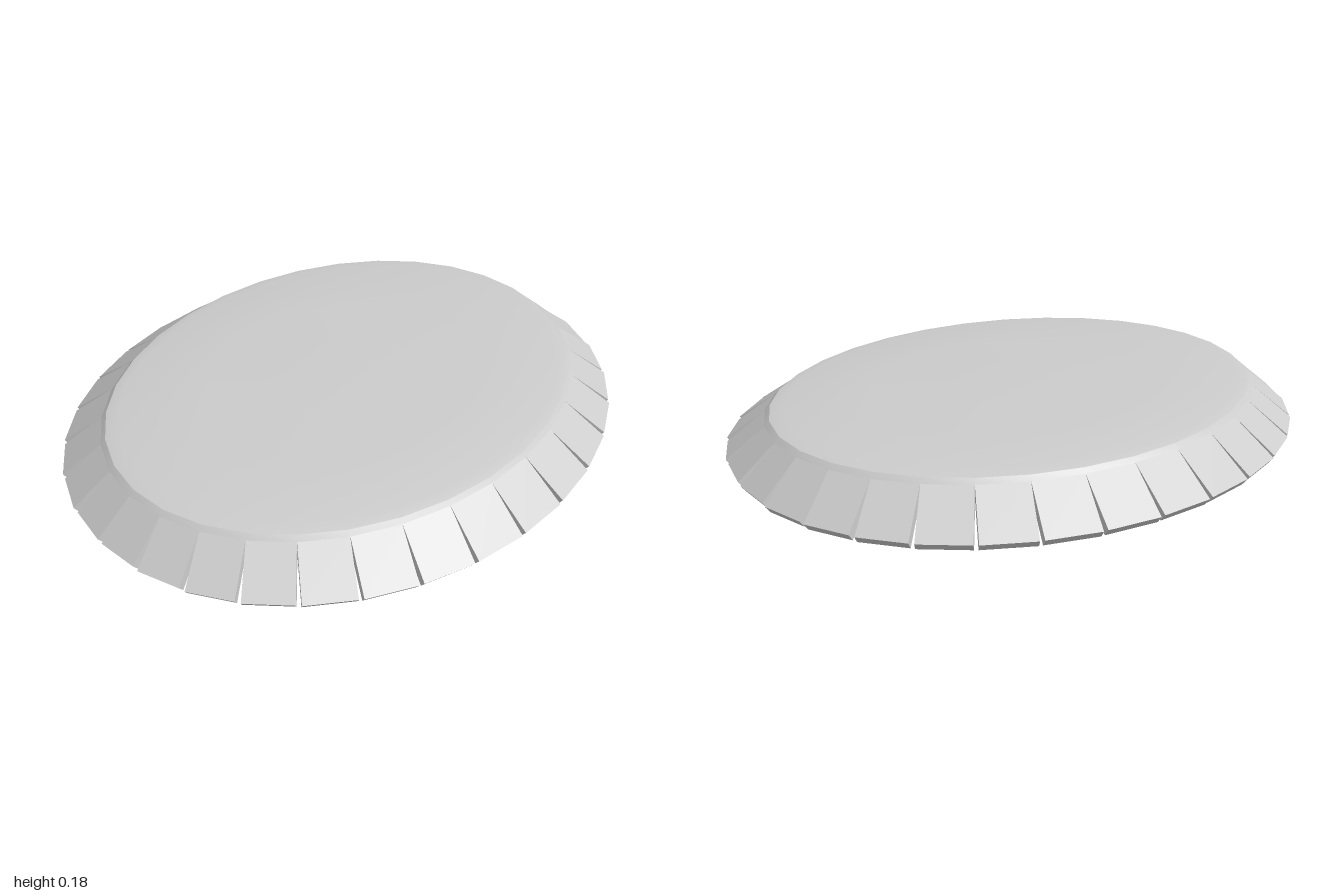
import * as THREE from 'three';
import { toCreasedNormals } from 'three/addons/utils/BufferGeometryUtils.js';

const TABS = 32;
const RX = 0.86, RZ = 0.685; // rim half-axes

// Point on the rim ellipse, angle measured from the front towards +x
const rimPoint = (a, k, y) => new THREE.Vector3(RX * k * Math.sin(a), y, RZ * k * Math.cos(a));

// One slab sloping down and out from a rim segment
function tabGeometry(a0, a1) {
  const p0 = rimPoint(a0, 1.015, 0.149), p1 = rimPoint(a1, 1.015, 0.149);
  const tangent = p1.clone().sub(p0).setY(0).normalize();
  const out = new THREE.Vector3(-tangent.z, 0, tangent.x);
  const mid = (a0 + a1) / 2, s = Math.sin(2 * mid);
  // Gentle unevenness in how far the tabs are bent down
  const frontRight = Math.sin(mid) > 0 && Math.cos(mid) > 0 ? 0.01 * s : 0;
  const endY = 0.026 + 0.006 + 0.006 * s + frontRight;
  const reach = 0.125 + 0.025 * Math.abs(out.z);

  const geo = new THREE.BoxGeometry(2, 2, 2);
  const pos = geo.attributes.position;
  for (let i = 0; i < pos.count; i++) {
    const atEnd = pos.getZ(i) > 0, under = pos.getY(i) < 0, side = pos.getX(i);
    const v = (side < 0 ? p0 : p1).clone();
    if (atEnd) {
      v.addScaledVector(out, reach).addScaledVector(tangent, side * 0.005);
      v.y = endY;
    }
    if (under) {
      v.addScaledVector(out, -0.02);
      v.y -= 0.026;
    }
    pos.setXYZ(i, v.x, v.y, v.z);
  }
  geo.computeVertexNormals();
  return geo;
}

export function createModel() {
  const group = new THREE.Group();
  group.name = 'pleatedOvalCap';
  const material = new THREE.MeshStandardMaterial({ color: 0xcccccc });

  // Oval plate: flat underside, bevelled rim, slight dome in the middle
  const profile = [
    [0, 0.13], [0.975, 0.13], [1.02, 0.146], [1, 0.162], [0.95, 0.17],
    [0.6, 0.173], [0.3, 0.18], [0, 0.182],
  ].map(([r, y]) => new THREE.Vector2(r, y));
  const plateGeo = new THREE.LatheGeometry(profile, TABS);
  plateGeo.scale(RX, 1, RZ);
  const plate = new THREE.Mesh(toCreasedNormals(plateGeo, 0.5), material);
  plate.name = 'plate';
  group.add(plate);

  // Skirt of bent tabs around the rim
  const skirt = new THREE.Group();
  skirt.name = 'skirt';
  const step = (2 * Math.PI) / TABS;
  for (let i = 0; i < TABS; i++) {
    const tab = new THREE.Mesh(tabGeometry(i * step, (i + 1) * step), material);
    tab.name = `tab${i + 1}`;
    skirt.add(tab);
  }
  group.add(skirt);
  return group;
}
